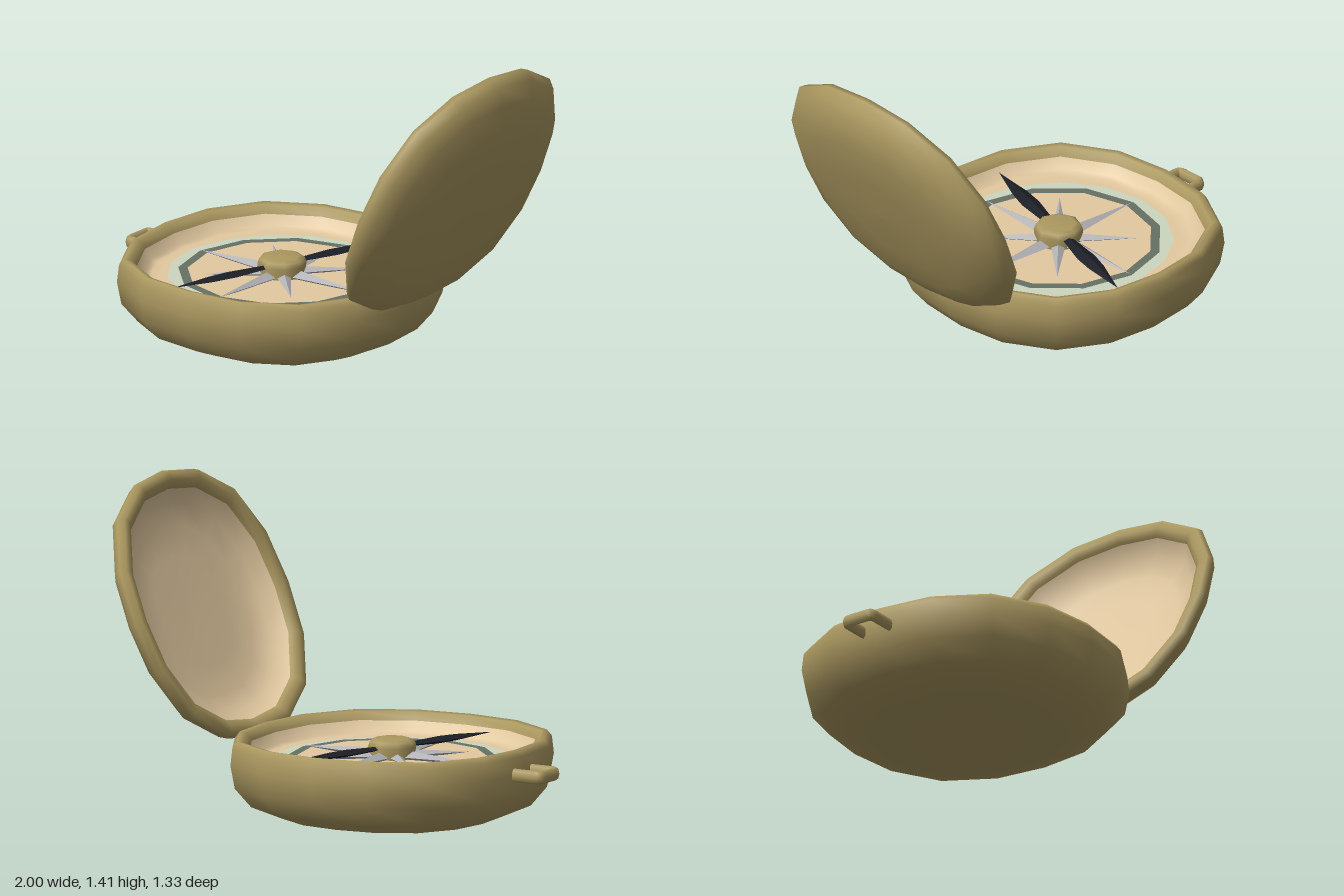
import * as THREE from 'three';

const mat = (color, flatShading = false) => {
  const m = new THREE.MeshStandardMaterial({ flatShading, side: THREE.DoubleSide });
  m.color.set(color);
  return m;
};
const brass = mat(0xab9860), cream = mat(0xe2c9a0), paleGreen = mat(0xccd6bf);
const darkGreen = mat(0x667064), steel = mat(0xb2b2b6, true), black = mat(0x1c1e26, true);

const SIDES = 16, DIAL_Y = 0.28;

function add(parent, name, geometry, material) {
  const mesh = new THREE.Mesh(geometry, material);
  mesh.name = name;
  parent.add(mesh);
  return mesh;
}

// Turned part from [radius, height] pairs
const lathe = (pts, sides = SIDES) =>
  new THREE.LatheGeometry(pts.map(([r, y]) => new THREE.Vector2(r, y)), sides);

// Swells a turned part on its diagonals, giving a slightly squared outline
function squared(g) {
  const p = g.attributes.position;
  for (let i = 0; i < p.count; i++) {
    const x = p.getX(i), z = p.getZ(i);
    const f = 1 + 0.063 * Math.sin(2 * Math.atan2(z, x)) ** 2;
    p.setXYZ(i, x * f, p.getY(i), z * f);
  }
  return g;
}

// Four-sided blade along +x from [distance, half-width] stations, flattened in y
function blade(stations, flatten) {
  const g = lathe(stations.map(([d, w]) => [w, d]), 4);
  g.rotateZ(-Math.PI / 2);
  g.scale(1, flatten, 1);
  return g;
}

export function createModel() {
  const model = new THREE.Group();
  model.name = 'pocketCompass';

  const body = new THREE.Group();
  body.name = 'body';
  body.position.x = -0.2;
  model.add(body);

  // Rounded case and the dial with its short upturned wall
  add(body, 'case', squared(lathe([
    [0, 0], [0.25, 0.006], [0.45, 0.033], [0.578, 0.088], [0.645, 0.17],
    [0.663, 0.27], [0.655, 0.345], [0.635, 0.372], [0.61, 0.367], [0.588, 0.34], [0.575, 0.3],
  ])), brass);
  add(body, 'dial', squared(lathe([
    [0.587, 0.335], [0.56, 0.29], [0.535, DIAL_Y], [0.5, DIAL_Y], [0, DIAL_Y],
  ])), cream);

  // Printed rings on the dial
  const ring = (name, inner, outer, sides, lift, material) => {
    const g = new THREE.RingGeometry(inner, outer, sides);
    g.rotateX(-Math.PI / 2);
    add(body, name, g, material).position.y = DIAL_Y + lift;
  };
  ring('paleRing', 0.42, 0.49, SIDES, 0.003, paleGreen);
  ring('darkRing', 0.405, 0.445, 12, 0.006, darkGreen);

  // Eight-pointed star, long and short points alternating
  const star = new THREE.Group();
  star.name = 'star';
  star.position.y = DIAL_Y + 0.01;
  body.add(star);
  for (let i = 0; i < 8; i++) {
    const long = i % 2 === 0;
    const g = blade([[0, 0.045], [0.08, long ? 0.036 : 0.03], [long ? 0.44 : 0.34, 0]], 0.7);
    add(star, 'starPoint', g, steel).rotation.y = i * Math.PI / 4;
  }

  // Needle, mirrored about the hub
  const needle = new THREE.Group();
  needle.name = 'needle';
  needle.position.y = 0.325;
  needle.rotation.y = Math.atan2(0.53, 0.165);
  body.add(needle);
  for (const turn of [0, Math.PI]) {
    const g = blade([[0, 0.02], [0.1, 0.024], [0.26, 0.04], [0.36, 0.034], [0.558, 0]], 0.4);
    add(needle, 'needleArm', g, black).rotation.y = turn;
  }

  // Hub with a softened top edge
  add(body, 'hub', lathe([
    [0.1, DIAL_Y], [0.105, 0.33], [0.098, 0.352], [0.075, 0.362], [0, 0.364],
  ], 8), brass);

  // Rectangular loop at the side, taller than thick
  const half = 0.068, outerX = -0.982, bend = 0.022;
  const v = (x, z) => new THREE.Vector3(x, 0, z);
  const path = new THREE.CurvePath();
  path.add(new THREE.LineCurve3(v(-0.82, half), v(outerX + bend, half)));
  path.add(new THREE.QuadraticBezierCurve3(v(outerX + bend, half), v(outerX, half), v(outerX, half - bend)));
  path.add(new THREE.LineCurve3(v(outerX, half - bend), v(outerX, bend - half)));
  path.add(new THREE.QuadraticBezierCurve3(v(outerX, bend - half), v(outerX, -half), v(outerX + bend, -half)));
  path.add(new THREE.LineCurve3(v(outerX + bend, -half), v(-0.82, -half)));
  const loop = new THREE.TubeGeometry(path, 48, 0.018, 8);
  loop.scale(1, 1.6, 1);
  add(model, 'loop', loop, brass).position.y = 0.272;

  // Open lid: local +y points out through its domed back
  const lid = new THREE.Group();
  lid.name = 'lid';
  lid.position.set(0.683, 0.868, 0);
  lid.rotation.z = -1.988;
  model.add(lid);
  add(lid, 'lidShell', squared(lathe([
    [0.512, 0.05], [0.525, 0.018], [0.552, 0], [0.588, 0], [0.602, 0.028], [0.58, 0.072],
    [0.517, 0.12], [0.407, 0.158], [0.22, 0.174], [0, 0.179],
  ])), brass);
  add(lid, 'lidLining', squared(lathe([
    [0, 0.13], [0.25, 0.128], [0.38, 0.118], [0.47, 0.088], [0.52, 0.03],
  ])), cream);

  return model;
}
